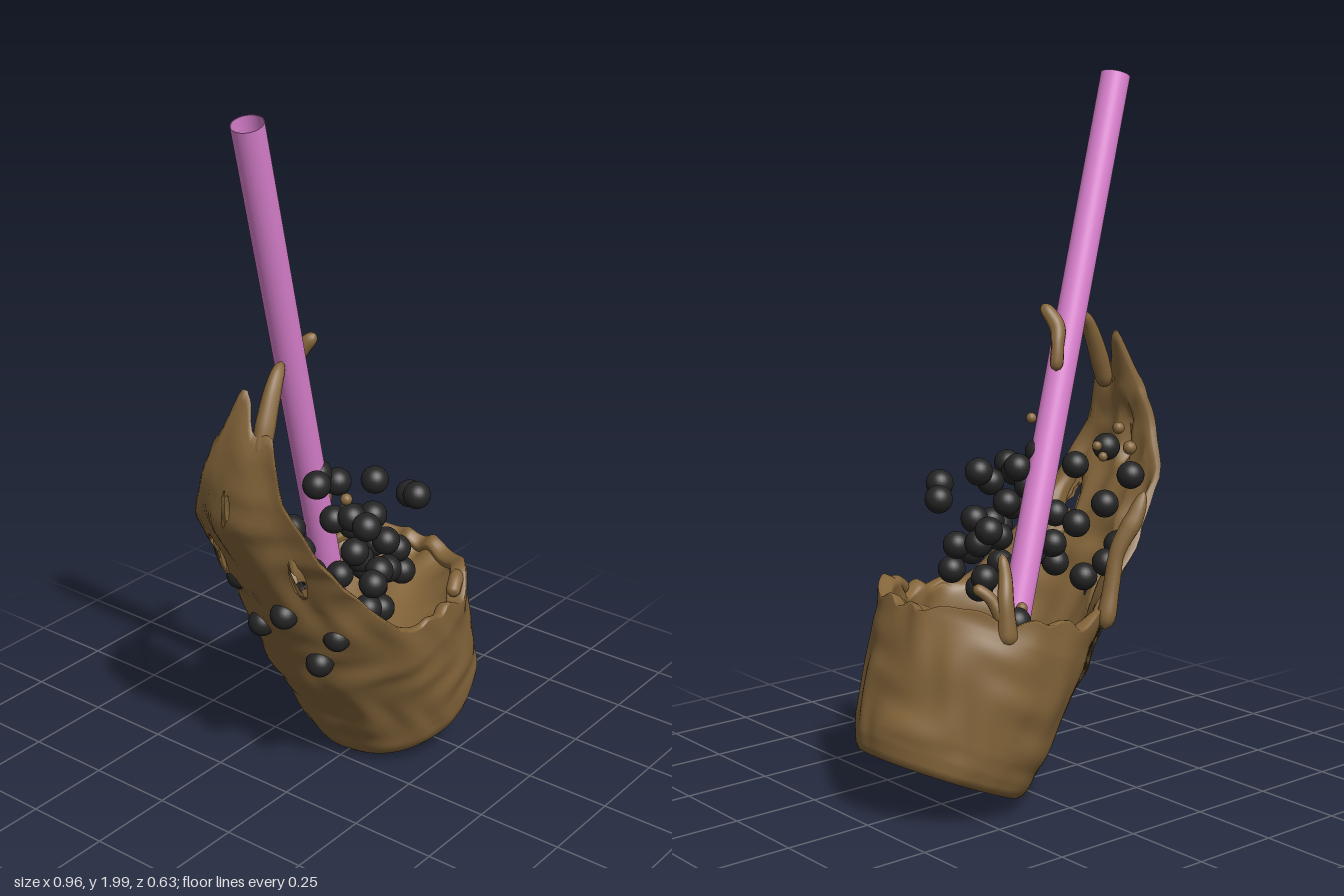
import * as THREE from 'three';

const TEA = new THREE.MeshStandardMaterial({ color: 0x84653a, side: THREE.DoubleSide });
const PEARL = new THREE.MeshStandardMaterial({ color: 0x242424 });
const PINK = new THREE.MeshStandardMaterial({ color: 0xe084d4 });

// Linear lookup in a list of [key, value] pairs
function lookup(table, k) {
  if (k <= table[0][0]) return table[0][1];
  for (let i = 1; i < table.length; i++) {
    const [k0, v0] = table[i - 1], [k1, v1] = table[i];
    if (k <= k1) return v0 + (v1 - v0) * (k - k0) / (k1 - k0);
  }
  return table[table.length - 1][1];
}

// Tilted frame of the tea: u across the base, v along its axis
const place = (u, v, z) => [0.26 + 0.918 * u - 0.397 * v, 0.1 + 0.397 * u + 0.918 * v, z];

const RADIUS_U = [[0, 0.234], [0.015, 0.246], [0.05, 0.257], [0.1, 0.264], [0.4, 0.305], [0.74, 0.325],
  [0.95, 0.315], [1.1, 0.285], [1.2, 0.22], [1.32, 0.1]];
const RADIUS_Z = [[0, 0.222], [0.015, 0.24], [0.05, 0.256], [0.1, 0.268], [0.4, 0.307], [0.8, 0.31], [1.3, 0.36]];
// The splash is blunter across than the round cup
const ROUNDNESS = [[0.45, 1], [0.9, 0.7]];
// Rim height by angle away from the splashing side
const HEIGHT = [[0, 1.28], [0.28, 1.25], [0.4, 1.14], [0.54, 1.02], [0.7, 0.87], [0.84, 0.75], [0.97, 0.65],
  [1.12, 0.56], [1.35, 0.5], [1.8, 0.46], [3.15, 0.42]];
// Gaps torn in the splash: angle, height, half sizes
const HOLES = [[0.52, 0.78, 0.07, 0.13], [-0.42, 0.84, 0.05, 0.06], [0.12, 1.06, 0.05, 0.05]];

function holeDistance(a, v) {
  return Math.min(...HOLES.map(([ha, hv, sa, sv]) => Math.hypot((a - ha) / sa, (v - hv) / sv)));
}

function rimHeight(a) {
  const d = Math.abs(a);
  const wave = 0.016 * Math.sin(5 * a + 1 + 2 * Math.sin(3 * a)) + 0.012 * Math.sin(13 * a + 2 * Math.sin(4 * a));
  return lookup(HEIGHT, d) + wave * lookup([[0, 2], [0.9, 1.6], [1.3, 0.9]], d);
}

// Uneven lumps of the liquid skin, stronger in the splash
function bumps(a, v) {
  const lumps = 0.005 * Math.sin(3 * a + 6 * v + 1.5 * Math.sin(2 * a - 5 * v))
    + 0.004 * Math.sin(5 * a - 13 * v + 2 * Math.sin(3 * a + 8 * v))
    + 0.003 * Math.sin(9 * a + 21 * v + 2.5 * Math.sin(4 * a - 15 * v));
  return lumps * lookup([[0.5, 1], [0.9, 1.6]], v);
}

// Tea body: base, outer wall, lip, inner wall and liquid surface in one skin
function teaGeometry() {
  const N = 168, WALL = 60, DISC = 14;
  const rows = [];
  for (let i = 0; i < DISC; i++) rows.push(['base', i / DISC]);
  for (let i = 0; i <= WALL; i++) rows.push(['outer', i / WALL]);
  for (let i = WALL - 1; i >= 0; i--) rows.push(['inner', i / WALL]);
  for (let i = DISC - 1; i >= 0; i--) rows.push(['liquid', i / DISC]);

  const positions = [], index = [], gap = [];
  for (const [kind, s] of rows) {
    for (let j = 0; j < N; j++) {
      const a = (j / N) * Math.PI * 2 - Math.PI, h = rimHeight(a), phi = a + Math.PI;
      const shore = Math.min(0.42, h - 0.025);
      let v = 0, shrink = 0, scale = 1, q = 9;
      if (kind === 'base') scale = s;
      if (kind === 'outer') {
        v = h * s;
        q = holeDistance(a, v);
        shrink = -bumps(a, v) * Math.min(1, v * 12);
      }
      if (kind === 'inner') {
        v = shore + (h - shore) * s;
        q = holeDistance(a, v);
        shrink = 0.044 * Math.sqrt(1 - s ** 6) * Math.min(1, Math.max(0, q - 1)) - bumps(a + 0.3, v);
        if (s > 0.8) shrink += (bumps(a + 0.3, v) - bumps(a, v)) * (s - 0.8) * 5;
      }
      if (kind === 'liquid') {
        v = shore;
        scale = s;
        shrink = 0.044 - bumps(a + 0.3, v);
      }
      const ru = lookup(RADIUS_U, v) - shrink, rz = lookup(RADIUS_Z, v) - shrink;
      const c = Math.cos(phi), z = rz * scale * Math.sin(phi);
      const u = ru * scale * Math.sign(c) * Math.abs(c) ** lookup(ROUNDNESS, v);
      if (kind === 'base') v += 0.006 * Math.sin(17 * u + 2 * Math.sin(13 * z)) * (1 - s);
      if (kind === 'liquid') {
        const ripple = 0.012 * Math.sin(14 * u + 2 * Math.sin(11 * z)) * Math.sin(13 * z + 1);
        v = 0.355 + 0.045 * s * s + (shore - 0.4) * s ** 6 + ripple * (1 - s ** 4);
      }
      if (kind === 'inner') v -= 0.5 * shrink * Math.max(0, v - 1);
      positions.push(...place(u, v, z));
      gap.push(q);
    }
  }
  for (let i = 0; i < rows.length - 1; i++) {
    for (let j = 0; j < N; j++) {
      const k = (j + 1) % N;
      const p = i * N + j, r = i * N + k, t = p + N, w = r + N;
      if ((gap[p] + gap[r] + gap[t] + gap[w]) / 4 < 1) continue;
      index.push(p, t, r, r, t, w);
    }
  }
  const g = new THREE.BufferGeometry();
  g.setAttribute('position', new THREE.Float32BufferAttribute(positions, 3));
  g.setIndex(index);
  g.computeVertexNormals();
  return g;
}

// Rounded strand of liquid along points [x, y, z, radius]
function strand(points) {
  const curve = new THREE.CatmullRomCurve3(points.map(p => new THREE.Vector3(p[0], p[1], p[2])));
  const SEG = 28, SIDES = 12;
  const g = new THREE.TubeGeometry(curve, SEG, 1, SIDES);
  const pos = g.attributes.position, c = new THREE.Vector3(), p = new THREE.Vector3();
  const radii = points.map((q, i) => [i / (points.length - 1), q[3]]);
  for (let i = 0; i <= SEG; i++) {
    const t = i / SEG;
    curve.getPointAt(t, c);
    const end = Math.min(1, Math.min(t, 1 - t) * 7);
    const r = lookup(radii, t) * Math.sqrt(1 - (1 - end) ** 2);
    for (let j = 0; j <= SIDES; j++) {
      const n = i * (SIDES + 1) + j;
      p.fromBufferAttribute(pos, n).sub(c).multiplyScalar(r).add(c);
      pos.setXYZ(n, p.x, p.y, p.z);
    }
  }
  g.computeVertexNormals();
  return g;
}

const STRANDS = [
  [[-0.12, 1.36, 0.01, 0.018], [-0.135, 1.3, -0.035, 0.024], [-0.12, 1.25, -0.055, 0.018], [-0.11, 1.18, -0.06, 0.02]],
  [[-0.27, 1.33, 0.02, 0.016], [-0.31, 1.29, 0.03, 0.024], [-0.355, 1.21, 0.04, 0.028], [-0.4, 1.1, 0.05, 0.025]],
  [[-0.22, 0.87, -0.3, 0.016], [-0.19, 0.8, -0.295, 0.028], [-0.14, 0.71, -0.28, 0.022], [-0.12, 0.62, -0.28, 0.024], [-0.09, 0.5, -0.285, 0.03]],
  [[0.2, 0.74, -0.2, 0.014], [0.205, 0.68, -0.22, 0.02], [0.22, 0.62, -0.24, 0.024], [0.22, 0.5, -0.25, 0.032]],
  [[0.28, 0.66, -0.18, 0.016], [0.25, 0.63, -0.21, 0.017], [0.22, 0.56, -0.24, 0.024]],
  [[0.17, 0.55, 0.265, 0.02], [0.22, 0.58, 0.245, 0.022], [0.27, 0.56, 0.22, 0.022]],
];

const DROPS = [[-0.27, 1.0, 0.23, 0.016], [-0.3, 1.01, -0.11, 0.017], [-0.21, 0.97, -0.12, 0.014],
  [-0.22, 0.98, -0.24, 0.019], [0.08, 0.56, -0.14, 0.016], [-0.26, 0.93, -0.09, 0.014]];

const PEARLS = [
  [0.16, 0.83, 0.12], [0.11, 0.86, 0.18], [0.05, 0.9, 0.08], [-0.04, 0.91, 0.02], [-0.18, 0.96, 0.06],
  [-0.1, 0.95, 0.0], [-0.17, 0.88, 0.22], [-0.13, 0.87, 0.14], [-0.05, 0.85, 0.15], [-0.05, 0.8, 0.08],
  [-0.13, 0.77, 0.15], [-0.14, 0.7, 0.22], [-0.1, 0.72, 0.21], [0.01, 0.75, 0.15], [0.08, 0.75, 0.0],
  [-0.04, 0.7, 0.1], [0.09, 0.69, 0.13], [0.02, 0.66, 0.15], [0.1, 0.62, 0.14], [0.06, 0.7, 0.07],
  [0.07, 0.61, 0.03], [-0.11, 0.6, 0.18], [-0.01, 0.55, 0.15], [0.05, 0.57, 0.08], [0.11, 0.53, -0.155],
  [-0.3, 0.95, -0.06], [-0.31, 0.88, -0.15], [-0.25, 0.8, -0.11], [-0.17, 0.75, -0.08], [-0.1, 0.7, -0.06],
  [-0.2, 0.65, -0.17], [-0.25, 0.74, 0.1], [-0.3, 0.88, 0.07], [-0.24, 0.64, 0.1], [-0.31, 0.62, 0.05],
  [-0.15, 0.65, 0.06], [-0.22, 0.45, 0.1], [-0.22, 0.55, 0.16], [-0.18, 0.62, 0.02], [-0.12, 0.84, 0.07],
  [-0.03, 0.62, 0.02], [-0.25, 0.53, -0.08], [-0.29, 0.68, -0.12], [-0.18, 0.6, -0.1],
];

export function createModel() {
  const model = new THREE.Group();
  const add = (parent, name, geometry, material) => {
    const mesh = new THREE.Mesh(geometry, material);
    mesh.name = name;
    parent.add(mesh);
    return mesh;
  };
  const group = name => {
    const g = new THREE.Group();
    g.name = name;
    model.add(g);
    return g;
  };

  add(model, 'teaBody', teaGeometry(), TEA);

  // Strands and loose drops of the splash
  const splash = group('splash');
  STRANDS.forEach(points => add(splash, 'strand', strand(points), TEA));
  DROPS.forEach(([x, y, z, r]) => add(splash, 'drop', new THREE.SphereGeometry(r, 14, 10), TEA).position.set(x, y, z));

  // Tapioca pearls
  const pearls = group('pearls');
  const ball = new THREE.SphereGeometry(0.039, 24, 16);
  PEARLS.forEach(p => add(pearls, 'pearl', ball, PEARL).position.set(...p));

  // Thin-walled open straw
  const top = new THREE.Vector3(-0.44, 1.987, 0.065), foot = new THREE.Vector3(0.05, 0.45, -0.06);
  const axis = top.clone().sub(foot);
  const ring = new THREE.Shape().absarc(0, 0, 0.042, 0, Math.PI * 2);
  ring.holes.push(new THREE.Path().absarc(0, 0, 0.04, 0, Math.PI * 2));
  const tube = new THREE.ExtrudeGeometry(ring, { depth: axis.length(), bevelEnabled: false, curveSegments: 40 });
  const straw = add(model, 'straw', tube, PINK);
  straw.position.copy(foot);
  straw.quaternion.setFromUnitVectors(new THREE.Vector3(0, 0, 1), axis.normalize());
  return model;
}
